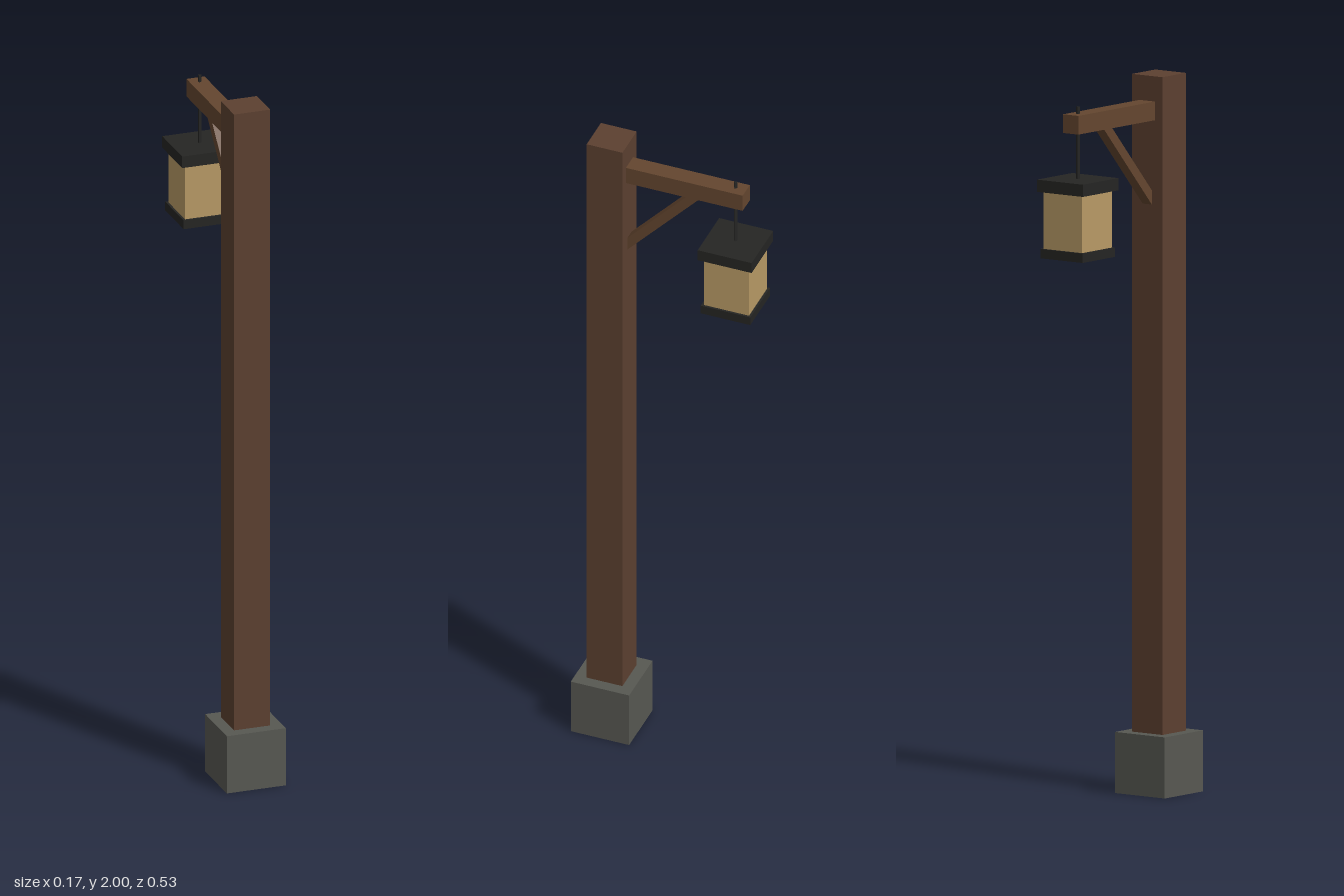
import * as THREE from 'three';

export function createModel() {
  const model = new THREE.Group();
  const mat = (color) => new THREE.MeshStandardMaterial({ color, flatShading: true });
  const wood = mat(0x5c4030), lightWood = mat(0x64462f), stone = mat(0x575852);
  const iron = mat(0x252523), paper = mat(0xb89a66);

  const add = (name, geometry, material, x, y, z, parent = model) => {
    const mesh = new THREE.Mesh(geometry, material);
    mesh.name = name;
    mesh.position.set(x, y, z);
    parent.add(mesh);
    return mesh;
  };
  const box = (w, h, d) => new THREE.BoxGeometry(w, h, d);

  // Stone footing and square post
  const postZ = 0.179;
  add('footing', box(0.173, 0.17, 0.173), stone, 0, 0.085, postZ);
  add('post', box(0.106, 1.999, 0.106), wood, 0, 1.0005, postZ);

  // Arm reaching backwards from the post
  const armBack = -0.22, armFront = 0.14;
  add('arm', box(0.053, 0.052, armFront - armBack), lightWood, 0, 1.904, (armBack + armFront) / 2);

  // Diagonal brace between post and arm
  const low = new THREE.Vector3(0, 1.645, 0.142), high = new THREE.Vector3(0, 1.892, -0.086);
  const brace = add('brace', box(0.032, 0.027, low.distanceTo(high)), lightWood, 0, 0, 0);
  brace.position.copy(low).lerp(high, 0.5);
  brace.lookAt(high);

  // Lantern hanging on a three-sided rod
  const lantern = new THREE.Group();
  lantern.name = 'lantern';
  lantern.position.z = -0.188;
  model.add(lantern);
  add('hangingRod', new THREE.CylinderGeometry(0.006, 0.006, 0.21, 3, 1, false, Math.PI / 2), iron, 0, 1.845, 0, lantern);
  add('lanternCap', box(0.16, 0.034, 0.16), iron, 0, 1.732, 0, lantern);
  add('lanternBody', box(0.134, 0.17, 0.134), paper, 0, 1.635, 0, lantern);
  add('lanternBase', box(0.147, 0.026, 0.147), iron, 0, 1.543, 0, lantern);

  return model;
}
